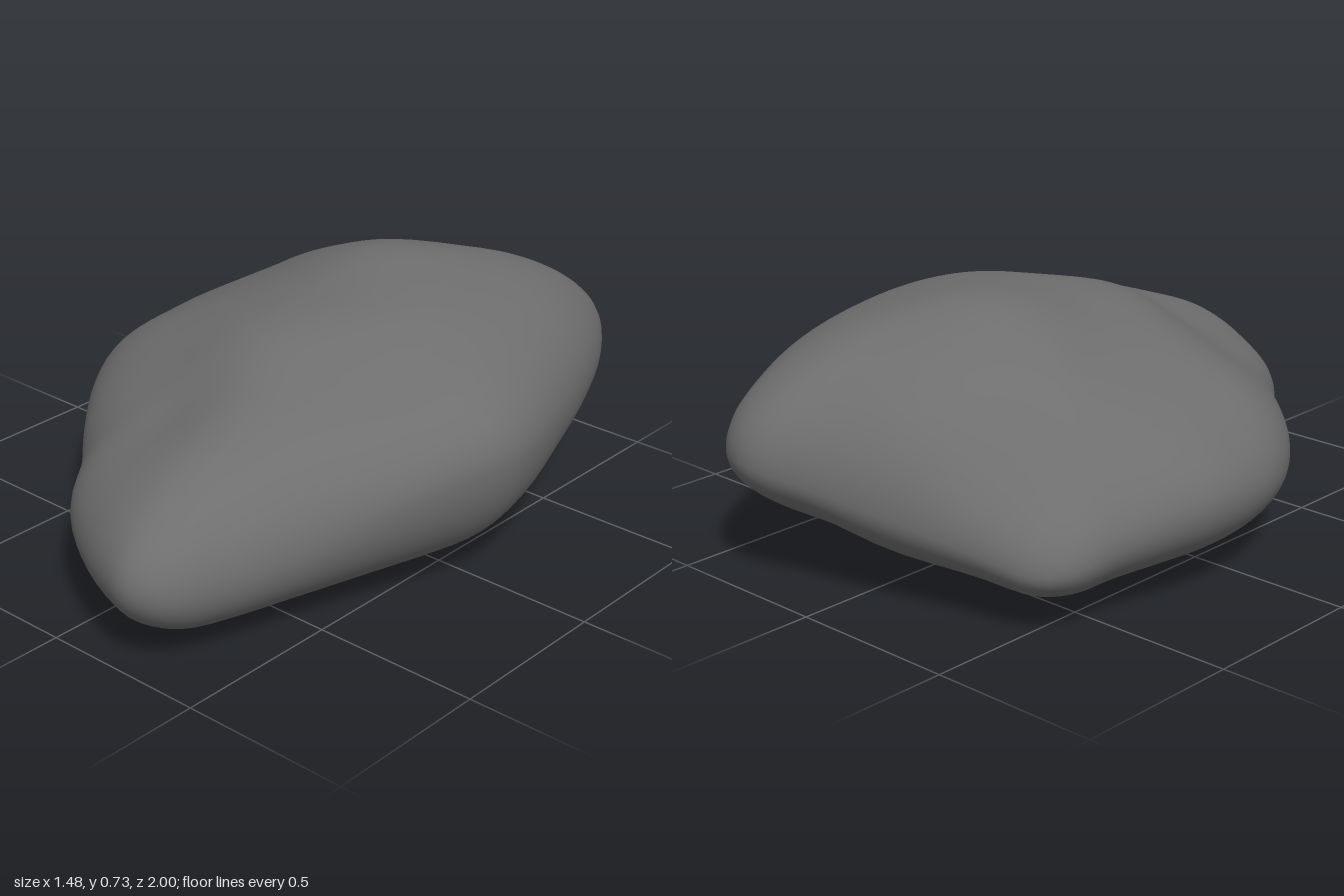
import * as THREE from 'three';
import { mergeVertices } from 'three/addons/utils/BufferGeometryUtils.js';

// Widest contour of the rock, from its right side round the front (x, y, z)
const RIM = [
  [-0.74, 0.27, -0.18], [-0.725, 0.26, 0], [-0.68, 0.26, 0.16], [-0.59, 0.25, 0.31],
  [-0.46, 0.24, 0.46], [-0.31, 0.23, 0.61], [-0.17, 0.23, 0.78], [0, 0.23, 0.9],
  [0.17, 0.24, 0.98], [0.27, 0.24, 1], [0.36, 0.23, 0.95], [0.43, 0.23, 0.81],
  [0.51, 0.26, 0.59], [0.6, 0.32, 0.38], [0.7, 0.38, 0.16], [0.74, 0.39, 0],
  [0.72, 0.39, -0.16], [0.65, 0.38, -0.38], [0.56, 0.38, -0.62], [0.46, 0.37, -0.82],
  [0.35, 0.37, -0.96], [0.23, 0.37, -1], [0.08, 0.34, -0.95], [-0.15, 0.29, -0.87],
  [-0.38, 0.23, -0.78], [-0.56, 0.19, -0.72], [-0.63, 0.2, -0.64], [-0.66, 0.23, -0.5],
  [-0.71, 0.26, -0.34],
];

// Height samples of the upper and lower faces (x, z, y)
const TOP = [
  [-0.05, -0.3, 0.775], [0.2, -0.15, 0.725], [0.12, 0.08, 0.69], [0.58, 0, 0.67],
  [0.42, -0.4, 0.7], [0.25, -0.6, 0.72], [0.27, 0.35, 0.62], [0.25, 0.6, 0.55],
  [0.26, 0.85, 0.49], [-0.12, 0.15, 0.66], [-0.42, 0.12, 0.55], [-0.25, -0.05, 0.63],
  [-0.48, -0.2, 0.56], [-0.32, -0.4, 0.66], [-0.56, -0.64, 0.42], [0.25, -0.88, 0.67],
  [-0.1, -0.65, 0.7], [-0.3, 0.42, 0.48], [-0.08, 0.65, 0.46], [0.5, 0.33, 0.6],
  [-0.65, -0.1, 0.47],
];
const BOTTOM = [
  [-0.1, -0.35, -0.015], [0.02, 0.05, 0.05], [0.22, 0.6, 0], [0.25, 0.3, 0],
  [-0.3, 0.15, 0.02], [-0.45, -0.15, 0.02], [0.25, -0.1, 0.08], [0.58, 0.12, 0],
  [0.25, -0.6, 0.06], [0.25, -0.88, 0.15], [-0.2, -0.7, 0.04], [-0.52, -0.6, 0.01],
  [-0.35, 0.42, 0.04], [-0.05, 0.7, 0.01], [0.26, 0.88, -0.03], [0.45, 0.42, -0.02],
];

// Smooth weighted blend of the nearby height samples
function blend(samples, x, z) {
  let sum = 0, total = 0;
  for (const [sx, sz, y] of samples) {
    const w = Math.exp(-((x - sx) ** 2 + (z - sz) ** 2) / 0.055) + 1e-6;
    sum += w * y;
    total += w;
  }
  return sum / total;
}

// A sphere whose equator becomes the rim and whose halves become the two faces
function rockGeometry() {
  const rim = new THREE.CatmullRomCurve3(RIM.map((p) => new THREE.Vector3(...p)), true);
  let geo = new THREE.SphereGeometry(1, 96, 64);
  const pos = geo.attributes.position, uv = geo.attributes.uv;
  for (let i = 0; i < pos.count; i++) {
    const edge = rim.getPoint(((uv.getX(i) % 1) + 1) % 1);
    const up = pos.getY(i);
    const spread = Math.pow(Math.max(0, 1 - up * up), 1 / 3.4);
    const x = edge.x * spread, z = edge.z * spread;
    const base = THREE.MathUtils.lerp(0.31, edge.y, spread);
    const face = blend(up > 0 ? TOP : BOTTOM, x, z);
    pos.setXYZ(i, x, base + (face - base) * Math.abs(up), z);
  }
  geo.deleteAttribute('uv');
  geo.deleteAttribute('normal');
  geo = mergeVertices(geo, 1e-5);
  geo.computeVertexNormals();

  // Rest on the ground, centred
  geo.computeBoundingBox();
  const { min, max } = geo.boundingBox;
  geo.translate(-(min.x + max.x) / 2, -min.y, -(min.z + max.z) / 2);
  return geo;
}

export function createModel() {
  const group = new THREE.Group();
  group.name = 'rock';
  const stone = new THREE.MeshStandardMaterial({ color: 0x6e6e6e });
  stone.name = 'grey stone';
  const boulder = new THREE.Mesh(rockGeometry(), stone);
  boulder.name = 'boulder';
  group.add(boulder);
  return group;
}
